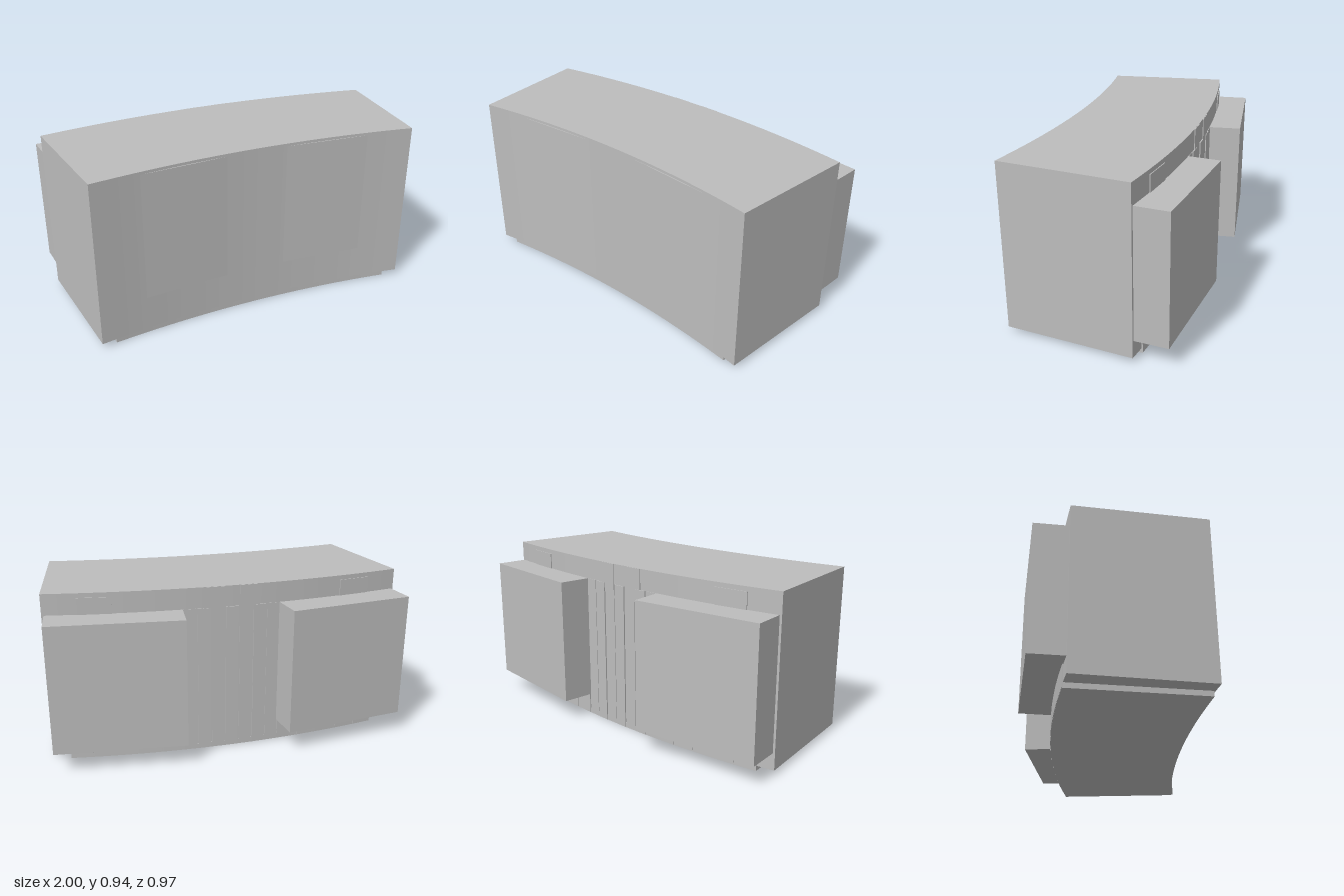
import * as THREE from 'three';

const grey = new THREE.MeshStandardMaterial({ color: 0xbdbdbd });
grey.name = 'plain grey';

// Extrudes a floor outline of [x, z] points from y0 up to y1
function prism(name, points, y0, y1) {
  const shape = new THREE.Shape(points.map(([x, z]) => new THREE.Vector2(x, z)));
  const geometry = new THREE.ExtrudeGeometry(shape, { depth: y1 - y0, bevelEnabled: false });
  geometry.rotateX(Math.PI / 2).translate(0, y1, 0);
  const mesh = new THREE.Mesh(geometry, grey);
  mesh.name = name;
  return mesh;
}

// Points on a shallow bow from -halfWidth to halfWidth
function bow(halfWidth, zMiddle, zEnd, steps = 24) {
  return Array.from({ length: steps + 1 }, (_, i) => {
    const t = (2 * i) / steps - 1;
    return [halfWidth * t, zMiddle + (zEnd - zMiddle) * t * t];
  });
}

const backZ = (x) => -0.315 + 0.095 * x * x;
const frontZ = (x) => 0.405 + 0.093 * x * x;

// Thin slat lying along the curved back
function slat(name, x, width, y0, y1, proud) {
  const mesh = new THREE.Mesh(new THREE.BoxGeometry(width, y1 - y0, 0.03), grey);
  mesh.position.set(x, (y0 + y1) / 2, backZ(x) - proud + 0.015);
  mesh.rotation.y = -Math.atan(0.19 * x);
  mesh.name = name;
  return mesh;
}

export function createModel() {
  const model = new THREE.Group();
  model.name = 'curvedBlock';

  // Main block and recessed plinth
  model.add(prism('body',
    [...bow(0.995, -0.315, -0.222), ...bow(0.91, 0.405, 0.482).reverse()], 0.028, 0.945));
  model.add(prism('plinth',
    [...bow(0.9, -0.318, -0.243), ...bow(0.83, 0.405, 0.462).reverse()], 0, 0.03));

  for (const side of [1, -1]) {
    // Angled boxes on the back
    const outline = [[0.27, -0.305], [0.29, -0.488], [1, -0.405], [0.983, -0.222]];
    model.add(prism('backBox', outline.map(([x, z]) => [side * x, z]), 0.12, 0.83));

    // Flat panels spanning the hollow front
    const panel = [[0.17, frontZ(0.17) - 0.01], [0.65, frontZ(0.65) - 0.01],
      [0.65, frontZ(0.65)], [0.17, frontZ(0.17)]];
    model.add(prism('frontPanel', panel.map(([x, z]) => [side * x, z]), 0.22, 0.93));

    // Upper trim above the boxes
    model.add(slat('upperTrim', side * 0.725, 0.18, 0.8, 0.92, 0.005));
    model.add(slat('upperTrim', side * 0.1, 0.11, 0.8, 0.944, 0.004));
  }

  // Tall slats between the boxes, with alternating depth
  for (let i = -3; i <= 3; i++) {
    model.add(slat('centreSlat', i * 0.078, 0.07, 0.002, 0.83, i % 2 ? 0.003 : 0.007));
  }
  // Short slats under the boxes
  for (const side of [1, -1]) {
    for (let i = 0; i < 5; i++) {
      model.add(slat('lowerSlat', side * (0.335 + i * 0.126), 0.12, 0.002, 0.14, 0.006));
    }
  }
  return model;
}
